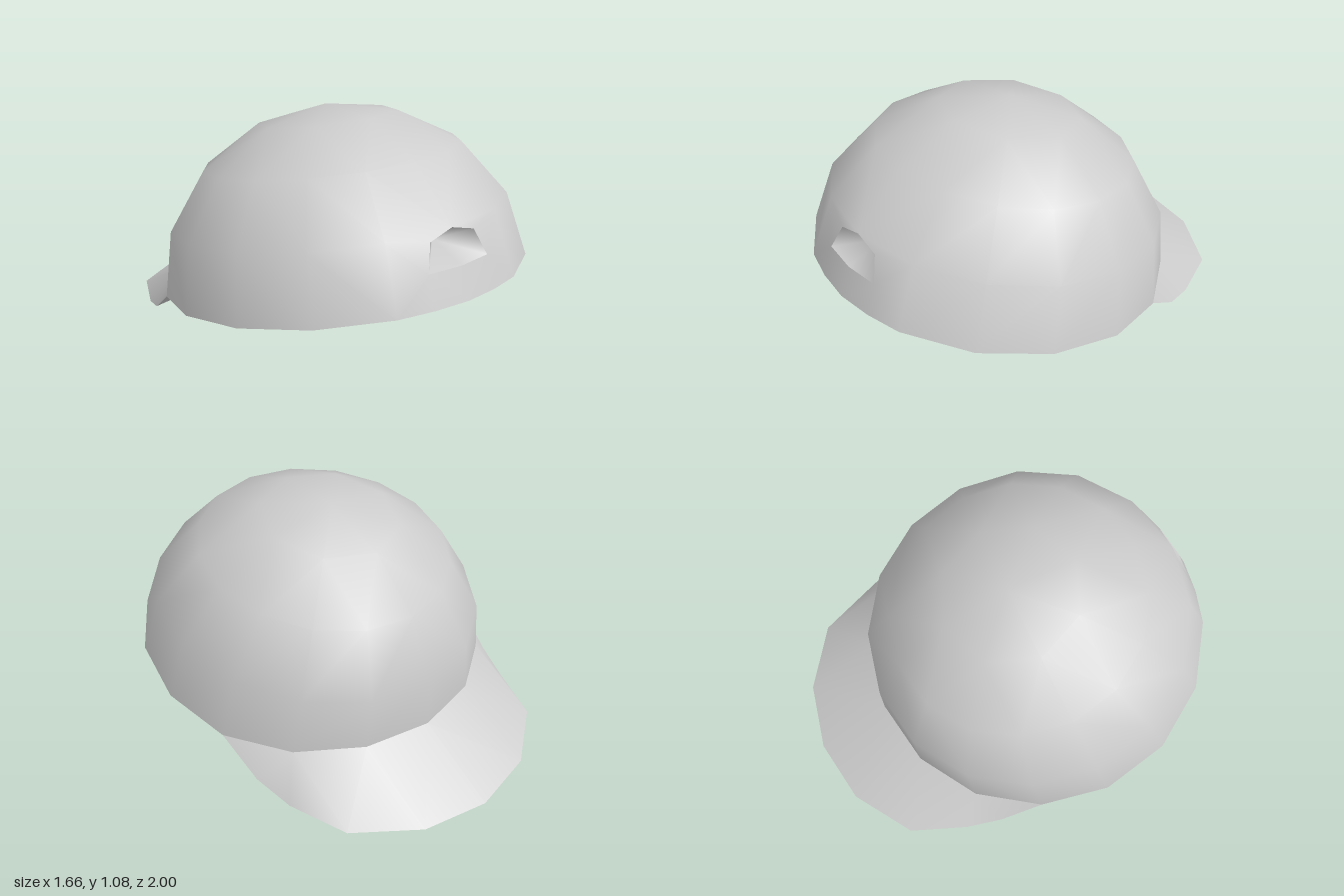
import * as THREE from 'three';
import { mergeVertices } from 'three/addons/utils/BufferGeometryUtils.js';

const grey = new THREE.MeshStandardMaterial({ color: 0xcccccc });
grey.name = 'capGrey';

// smooth mesh from the triangles of the +x half, mirrored to -x
function mirroredMesh(name, tris) {
  const pos = [];
  for (const [a, b, c] of tris) {
    pos.push(...a, ...b, ...c);
    for (const [x, y, z] of [a, c, b]) pos.push(-x, y, z);
  }
  let geo = new THREE.BufferGeometry();
  geo.setAttribute('position', new THREE.Float32BufferAttribute(pos, 3));
  geo = mergeVertices(geo, 1e-4);
  geo.computeVertexNormals();
  const mesh = new THREE.Mesh(geo, grey);
  mesh.name = name;
  return mesh;
}

// point on the tilted dome: i = sixteenth of a turn (4 = front), k = ring (4 = crown)
const TILT = 0.2;
function domePoint(i, k) {
  const a = i * Math.PI / 8, e = k * Math.PI / 8;
  const r = 0.832 * Math.cos(e), h = 0.763 * Math.sin(e);
  const x = r * Math.cos(a), u = r * Math.sin(a);
  const z = 0.184 + u * Math.cos(TILT) - h * Math.sin(TILT);
  let y = 0.323 + u * Math.sin(TILT) + h * Math.cos(TILT);
  // the rim is lifted where the brim joins
  if (k === 0 && i < -1) y = [0.22, 0.226, 0.235][i + 4];
  return [x, y, z];
}

export function createModel() {
  const group = new THREE.Group();
  group.name = 'cap';

  // lower and middle bands of the crown, leaving out the front panel
  const crown = [];
  for (let i = -4; i < 4; i++) {
    for (let k = 0; k < 2; k++) {
      if (i === 3 && k === 0) continue;
      const a = domePoint(i + 1, k), b = domePoint(i, k);
      const c = domePoint(i, k + 1), d = domePoint(i + 1, k + 1);
      crown.push([a, b, c], [a, c, d]);
    }
  }
  // top of the crown, stepping from sixteen sides to eight
  for (let i = -4; i < 4; i += 2) {
    const b = domePoint(i, 2), m = domePoint(i + 1, 2), d = domePoint(i + 2, 2);
    const c = domePoint(i, 3), e = domePoint(i + 2, 3);
    crown.push([m, b, c], [d, m, e], [m, c, e], [e, c, domePoint(0, 4)]);
  }
  // front panel around the opening
  const low = domePoint(4, 0), side = domePoint(3, 0), top = domePoint(3, 1);
  const mid = [0.16, 0.484, 0.98];
  const tip = domePoint(4, 1), shoulder = [0.117, 0.728, 0.883];
  const corner = [0.157, 0.62, 0.928], sill = [0, 0.62, 0.945];
  crown.push([low, mid, corner], [low, corner, sill], [mid, side, corner],
    [side, top, corner], [corner, top, shoulder], [shoulder, top, tip]);
  group.add(mirroredMesh('crown', crown));

  // hollow of the opening
  const deep = [0, 0.67, 0.77];
  const loop = [sill, corner, shoulder, tip];
  group.add(mirroredMesh('frontOpening',
    loop.slice(1).map((p, n) => [loop[n], p, deep])));

  // brim, from the side of the rim round to the tip
  const rim = [-1, -2, -3, -4].map(i => domePoint(i, 0));
  const edge = [rim[0], [0.735, 0.115, -0.32], [0.69, 0.055, -0.49],
    [0.59, 0.03, -0.75], [0.315, 0.012, -0.94], [0, 0, -1]];
  group.add(mirroredMesh('brimTop', [
    [rim[0], edge[1], rim[1]], [edge[1], edge[2], rim[1]], [edge[2], edge[3], rim[1]],
    [rim[1], edge[3], rim[2]], [edge[3], edge[4], rim[2]],
    [rim[2], edge[4], rim[3]], [edge[4], edge[5], rim[3]]]));

  // undersides of the brim and the crown
  const hub = [0, 0.32, -0.16];
  const underside = edge.slice(1).map((p, n) => [hub, p, edge[n]]);
  for (let i = -1; i < 3; i++) {
    underside.push([hub, domePoint(i, 0), domePoint(i + 1, 0)]);
  }
  underside.push([hub, side, mid], [hub, mid, low]);
  group.add(mirroredMesh('underside', underside));

  return group;
}
